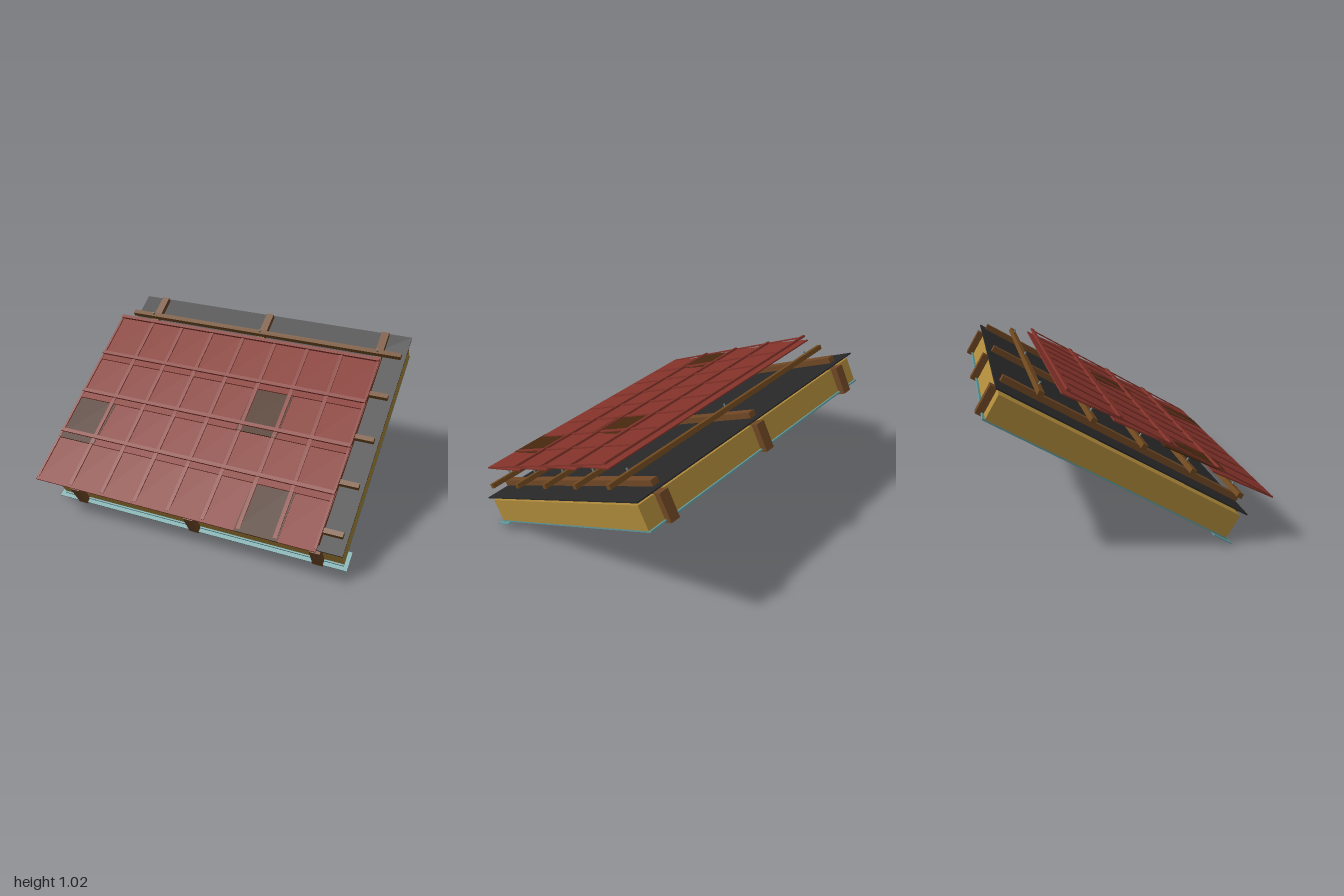
import * as THREE from 'three';

const material = (name, color) => {
  const m = new THREE.MeshStandardMaterial({ color });
  m.name = name;
  return m;
};

export function createModel() {
  const tileRed = material('tile red', 0x84332a);
  const tileDark = material('weathered tile brown', 0x482810);
  const timber = material('rafter timber', 0x704825);
  const battenWood = material('batten timber', 0x70491f);
  const insulationTan = material('insulation tan', 0xaf8a3b);
  const felt = material('felt black', 0x282828);
  const liner = material('liner teal', 0x629a9c);
  const steel = material('screw steel', 0x6f7f80);

  const model = new THREE.Group();
  model.name = 'roofSection';

  // Everything lies on a 30 degree pitch: s runs up the slope, n away from it
  const slope = new THREE.Group();
  slope.name = 'pitchedLayers';
  slope.rotation.x = Math.PI / 6;
  slope.position.z = 0.595;
  model.add(slope);

  const layer = (name) => {
    const g = new THREE.Group();
    g.name = name;
    slope.add(g);
    return g;
  };
  const box = (parent, name, mat, x0, x1, s0, s1, n0, n1) => {
    const mesh = new THREE.Mesh(new THREE.BoxGeometry(x1 - x0, n1 - n0, s1 - s0), mat);
    mesh.position.set((x0 + x1) / 2, (n0 + n1) / 2, -(s0 + s1) / 2);
    mesh.name = name;
    parent.add(mesh);
    return mesh;
  };

  // Liner under the insulation, with a wider strip at the eaves
  const lining = layer('lining');
  box(lining, 'linerSheet', liner, -0.975, 0.975, 0.03, 1.615, 0.012, 0.022);
  box(lining, 'eavesStrip', liner, -1, 1, 0.005, 0.13, 0.006, 0.012);

  // Rafters and the insulation between them
  const frame = layer('frame');
  const rafterX = [-0.82, 0, 0.82];
  const half = 0.0325;
  for (const x of rafterX) box(frame, 'rafter', timber, x - half, x + half, 0, 1.643, 0, 0.176);
  const bays = [-0.975 - half, ...rafterX, 0.975 + half];
  for (let i = 0; i < 4; i++) {
    box(frame, 'insulation', insulationTan, bays[i] + half, bays[i + 1] - half, 0.04, 1.6, 0.022, 0.174);
  }

  // Felt sheet
  box(slope, 'felt', felt, -0.99, 0.99, 0.012, 1.63, 0.195, 0.203);

  // Counter battens, cross battens and their screws
  const battens = layer('battens');
  for (const x of rafterX) box(battens, 'counterBatten', timber, x - 0.025, x + 0.025, 0.04, 1.605, 0.214, 0.25);
  const screwGeometry = new THREE.CylinderGeometry(0.006, 0.006, 0.02, 8);
  for (let i = 0; i < 5; i++) {
    const s = 0.108 + i * 0.325;
    box(battens, 'batten', battenWood, -0.98, 0.975, s - 0.016, s + 0.016, 0.263, 0.293);
    for (const x of rafterX) {
      const screw = new THREE.Mesh(screwGeometry, steel);
      screw.name = 'screw';
      screw.position.set(x, 0.302, -s);
      battens.add(screw);
    }
  }

  // Four overlapping courses of eight tiles
  const columns = 8, pitch = 0.2286, tileWidth = 0.27;
  const weathered = ['0,6', '1,0', '2,5'];
  for (let row = 0; row < 4; row++) {
    const course = layer('tileCourse');
    course.position.z = -row * 0.325;

    // Pans dip toward their heads, under the next course
    for (let col = 0; col < columns; col++) {
      const dark = weathered.includes(row + ',' + col);
      const x0 = -1 + col * pitch;
      const last = col === columns - 1;
      const x1 = dark || last ? x0 + tileWidth : x0 + pitch;
      const pan = box(course, 'tilePan', dark ? tileDark : tileRed, x0, x1, -0.063, 0.343, 0.342, 0.35);
      pan.rotation.x = -0.066;
      if (dark) pan.position.y += 0.002;
    }

    // Raised side ribs, half width on the outer edges
    for (let i = 0; i <= columns; i++) {
      const edge = i === 0 ? -0.993 : i === columns ? 0.863 : -1 + i * pitch + 0.0207;
      const w = i === 0 || i === columns ? 0.007 : 0.012;
      box(course, 'tileRib', tileRed, edge - w, edge + w, -0.045, 0.325, 0.357, 0.365);
    }

    // Head bar
    box(course, 'headBar', tileRed, -1, 0.87, 0.306, 0.33, 0.359, 0.373);
  }

  return model;
}
